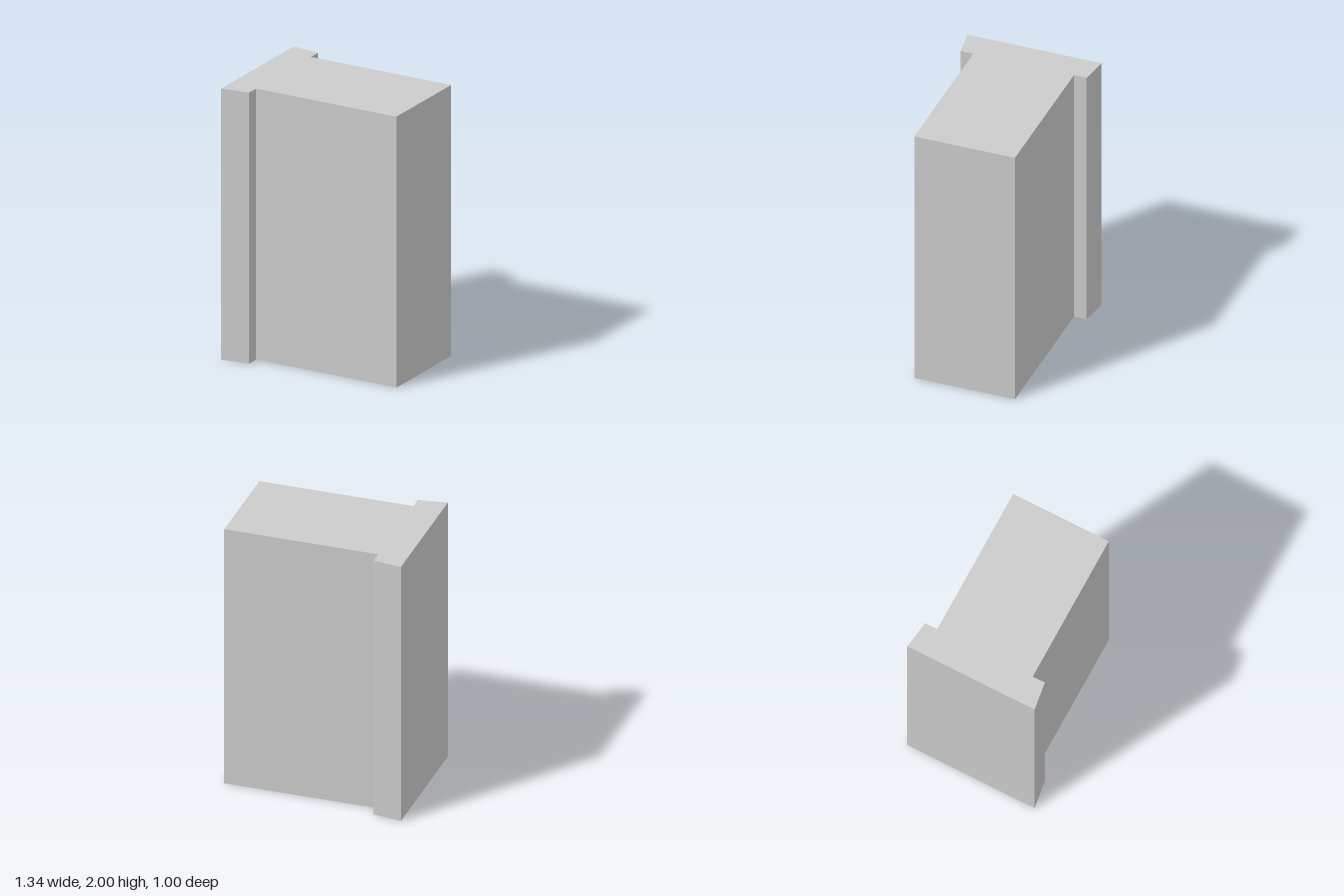
import * as THREE from 'three';

export function createModel() {
  const group = new THREE.Group();
  group.name = 'flangedBlock';

  // Half of the T-shaped plan, mirrored across the long axis
  const half = [[0.67, 0.375], [-0.46, 0.375], [-0.46, 0.47], [-0.67, 0.5]];
  const mirrored = half.map(([x, z]) => [x, -z]).reverse();
  const outline = [...half, ...mirrored].map(([x, z]) => new THREE.Vector2(x, z));

  // Plan extruded to full height, standing upright
  const geometry = new THREE.ExtrudeGeometry(new THREE.Shape(outline), {
    depth: 2,
    bevelEnabled: false,
  });
  geometry.rotateX(-Math.PI / 2);

  const block = new THREE.Mesh(
    geometry,
    new THREE.MeshStandardMaterial({ color: 0xcccccc, flatShading: true })
  );
  block.name = 'blockWithTaperedFlange';
  group.add(block);
  return group;
}
